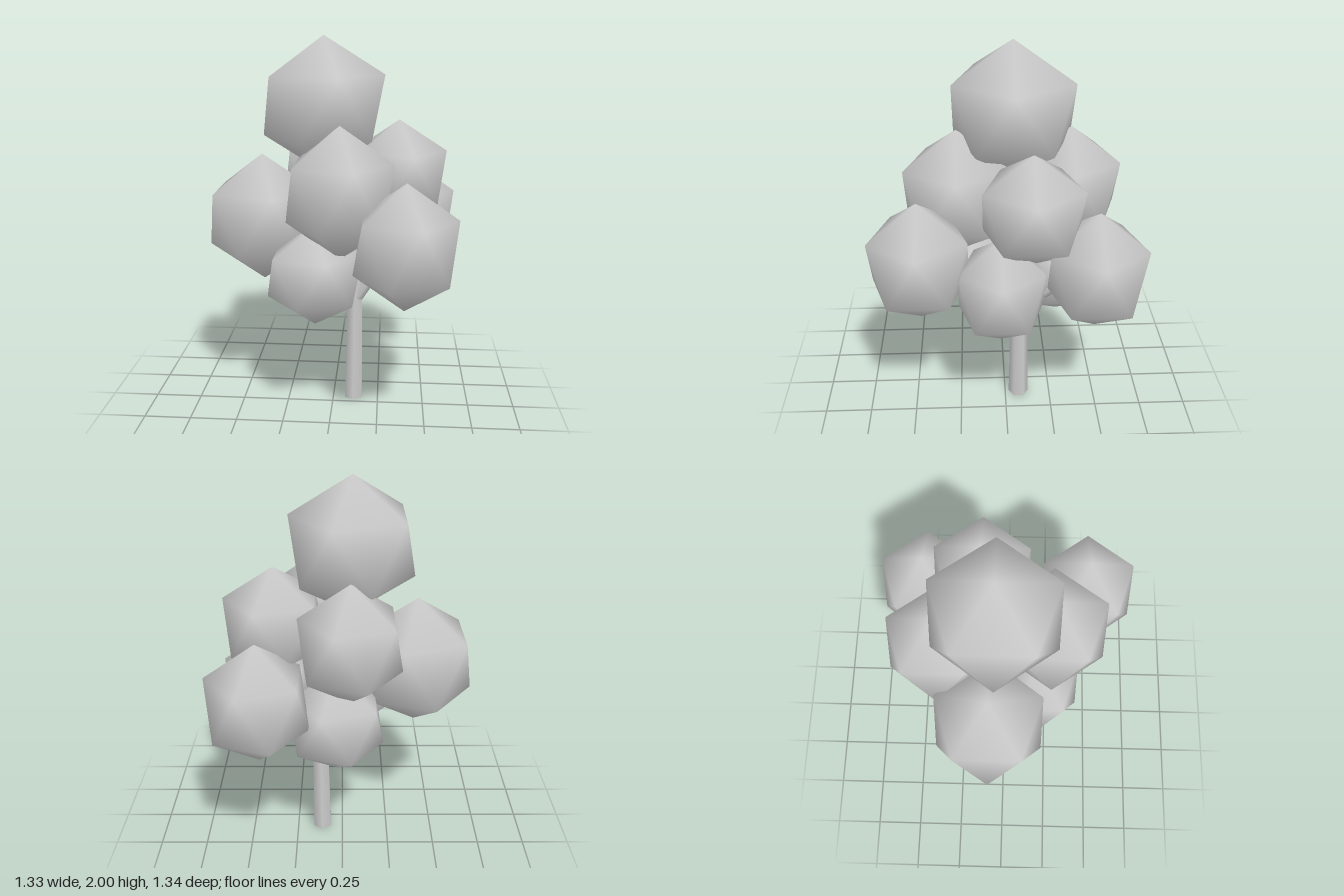
import * as THREE from 'three';
import { mergeVertices } from 'three/addons/utils/BufferGeometryUtils.js';

// Icosahedron standing on one corner, with smooth normals
function leafGeometry() {
  let g = new THREE.IcosahedronGeometry(1, 0);
  g.deleteAttribute('normal');
  g.deleteAttribute('uv');
  g = mergeVertices(g);
  g.rotateZ(-Math.atan(2 / (1 + Math.sqrt(5))));
  g.computeVertexNormals();
  return g;
}

// Tapered six-sided limb between two points
function limb(name, from, to, r0, r1, material) {
  const a = new THREE.Vector3(...from), b = new THREE.Vector3(...to);
  const dir = b.clone().sub(a);
  const mesh = new THREE.Mesh(new THREE.CylinderGeometry(r1, r0, dir.length(), 6), material);
  mesh.name = name;
  mesh.position.copy(a).add(b).multiplyScalar(0.5);
  mesh.quaternion.setFromUnitVectors(new THREE.Vector3(0, 1, 0), dir.normalize());
  return mesh;
}

export function createModel() {
  const tree = new THREE.Group();
  tree.name = 'tree';
  const grey = new THREE.MeshStandardMaterial({ color: 0xcccccc });
  grey.name = 'light grey';

  // Foliage clumps: centre, then radii
  const clumps = {
    topClump: [[-0.05, 1.65, -0.045], [0.35, 0.35, 0.355]],
    leftClump: [[-0.38, 1.045, -0.075], [0.325, 0.345, 0.32]],
    frontCornerClump: [[0.375, 1.035, 0.428], [0.28, 0.315, 0.28]],
    frontUpperClump: [[0.05, 1.25, 0.24], [0.3, 0.335, 0.31]],
    sideUpperClump: [[0.34, 1.28, -0.125], [0.28, 0.29, 0.285]],
    backCornerClump: [[0.41, 0.985, -0.437], [0.28, 0.315, 0.275]],
    backUpperClump: [[-0.04, 1.25, -0.34], [0.285, 0.31, 0.285]],
    frontLowerClump: [[-0.08, 0.805, 0.18], [0.275, 0.265, 0.25]],
    sideLowerClump: [[0.395, 0.873, 0.03], [0.255, 0.29, 0.25]],
    backLowerClump: [[0.03, 0.8, -0.28], [0.27, 0.28, 0.265]],
  };
  const foliage = new THREE.Group();
  foliage.name = 'foliage';
  const leaf = leafGeometry();
  for (const [name, [centre, radii]] of Object.entries(clumps)) {
    const mesh = new THREE.Mesh(leaf, grey);
    mesh.name = name;
    mesh.position.set(...centre);
    mesh.scale.set(...radii);
    foliage.add(mesh);
  }
  tree.add(foliage);

  // Trunk with its hidden upper stem
  const fork = [0.118, 0.62, -0.075];
  tree.add(
    limb('trunk', [0.113, 0.005, -0.075], fork, 0.055, 0.044, grey),
    limb('upperStem', fork, [0.04, 1.4, -0.06], 0.044, 0.02, grey)
  );

  // Branches reaching into the lower clumps
  const tips = [[0.26, 0.8, -0.02], [-0.03, 0.74, 0.08], [0.06, 0.74, -0.2], [0.32, 0.9, -0.33], [-0.2, 0.95, -0.07]];
  const start = [0.115, 0.58, -0.075];
  tips.forEach((tip, i) => tree.add(limb('branch' + (i + 1), start, tip, 0.034, 0.02, grey)));

  return tree;
}
